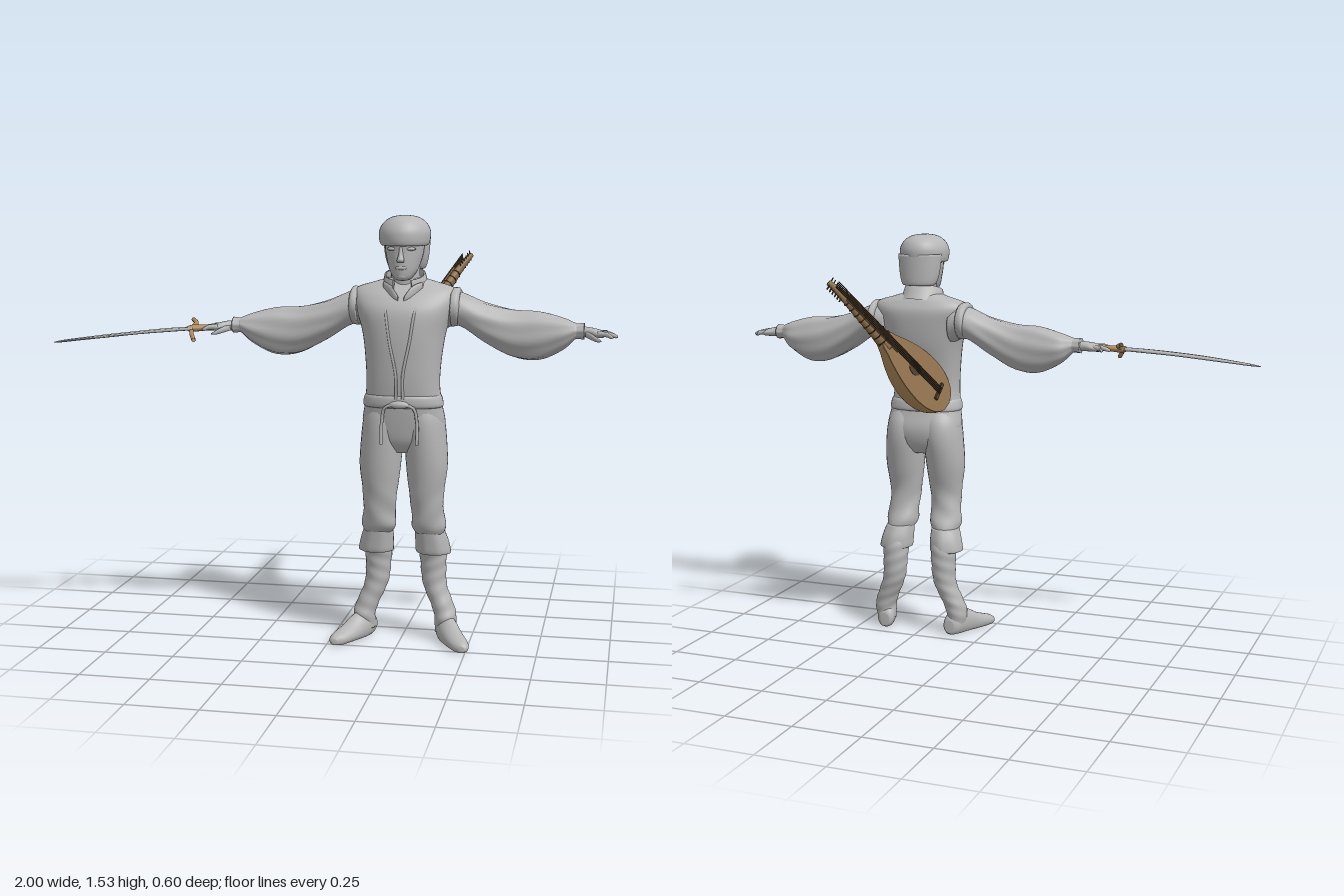
import * as THREE from 'three';

const mat = (name, color) => {
  const m = new THREE.MeshStandardMaterial({ color, side: THREE.DoubleSide });
  m.name = name;
  return m;
};

// Smooth skin over elliptical rings [t, u, v, ru, rv] strung along an axis.
// y axis: u = x, v = z.  x axis: u = y, v = z.  z axis: u = x, v = y.
function loft(rings, { axis = 'y', seg = 28, steps = 5, p = 2, side = 1, ripple = null } = {}) {
  const rows = [];
  const last = rings.length - 1;
  for (let i = 0; i < last; i++) {
    const [a, b, c, d] = [i - 1, i, i + 1, i + 2].map(k => rings[THREE.MathUtils.clamp(k, 0, last)]);
    for (let j = 0; j < steps; j++) {
      const f = j / steps;
      rows.push(b.map((_, k) => {
        const m0 = (c[k] - a[k]) / 2, m1 = (d[k] - b[k]) / 2;
        const q = b[k] - c[k];
        return b[k] + m0 * f + (-3 * q - 2 * m0 - m1) * f * f + (2 * q + m0 + m1) * f * f * f;
      }));
    }
  }
  rows.push(rings[last]);
  const pos = [], idx = [];
  const put = (t, u, v) => {
    const q = axis === 'y' ? [u, t, v] : axis === 'x' ? [t, u, v] : [u, v, t];
    pos.push(q[0] * side, q[1], q[2]);
  };
  const power = x => Math.sign(x) * Math.abs(x) ** (2 / p);
  for (const [t, u, v, ru, rv] of rows) {
    for (let k = 0; k < seg; k++) {
      const a = k / seg * Math.PI * 2, w = ripple ? 1 + ripple(t, a) : 1;
      put(t, u + ru * w * power(Math.cos(a)), v + rv * w * power(Math.sin(a)));
    }
  }
  const flip = ((axis !== 'y') !== (rings[last][0] < rings[0][0])) !== (side < 0);
  const tri = (a, b, c) => flip ? idx.push(a, c, b) : idx.push(a, b, c);
  const top = (rows.length - 1) * seg, c0 = rows.length * seg;
  put(...rows[0]);
  put(...rows[rows.length - 1]);
  for (let k = 0; k < seg; k++) {
    const n = (k + 1) % seg;
    for (let r = 0; r < top; r += seg) {
      tri(r + k, r + seg + k, r + n);
      tri(r + n, r + seg + k, r + seg + n);
    }
    tri(c0, k, n);
    tri(c0 + 1, top + n, top + k);
  }
  const g = new THREE.BufferGeometry();
  g.setAttribute('position', new THREE.Float32BufferAttribute(pos, 3));
  g.setIndex(idx);
  g.computeVertexNormals();
  return g;
}

const tube = (pts, r, n = 12) => new THREE.TubeGeometry(
  new THREE.CatmullRomCurve3(pts.map(q => new THREE.Vector3(...q))), n, r, 7);

export function createModel() {
  const model = new THREE.Group();
  const grey = mat('cloth and skin grey', 0xb6b6b6);
  const steel = mat('blade grey', 0xb0b0b0);
  const wood = mat('light wood', 0xb08a5a);
  const board = mat('soundboard brown', 0x8c6e4a);
  const dark = mat('dark wood', 0x4c3b29);
  const add = (parent, name, geo, m = grey) => {
    const mesh = new THREE.Mesh(geo, m);
    mesh.name = name;
    parent.add(mesh);
    return mesh;
  };
  const ball = (parent, name, c, s, m = grey) => {
    const b = add(parent, name, new THREE.SphereGeometry(1, 18, 12), m);
    b.position.set(...c);
    b.scale.set(...s);
    return b;
  };

  const man = new THREE.Group();
  man.name = 'figure';
  man.position.x = 0.26;
  model.add(man);

  // Torso, vest and hips
  add(man, 'torso', loft([
    [0.70, 0, 0.145, 0.06, 0.05], [0.74, 0, 0.145, 0.12, 0.078], [0.80, 0, 0.147, 0.147, 0.09],
    [0.87, 0, 0.162, 0.138, 0.086], [0.94, 0, 0.172, 0.13, 0.086], [1.02, 0, 0.168, 0.133, 0.096],
    [1.12, 0, 0.155, 0.146, 0.112], [1.2, 0, 0.145, 0.17, 0.113], [1.25, 0, 0.13, 0.185, 0.098],
    [1.28, 0, 0.122, 0.172, 0.076], [1.3, 0, 0.12, 0.11, 0.06], [1.315, 0, 0.125, 0.06, 0.05],
  ], { p: 2.3, seg: 40 }));
  add(man, 'vestHem', loft([
    [0.865, 0, 0.163, 0.139, 0.088], [0.875, 0, 0.165, 0.143, 0.093], [0.9, 0, 0.168, 0.138, 0.091],
    [0.91, 0, 0.169, 0.131, 0.085],
  ], { p: 2.3, steps: 3 }));

  // Head, face and hair
  add(man, 'neck', loft([[1.25, 0, 0.125, 0.065, 0.06], [1.31, 0, 0.132, 0.052, 0.055], [1.38, 0, 0.14, 0.05, 0.055]]));
  add(man, 'face', loft([
    [1.308, 0, 0.2, 0.015, 0.02], [1.316, 0, 0.195, 0.03, 0.041], [1.34, 0, 0.18, 0.047, 0.062],
    [1.37, 0, 0.165, 0.058, 0.079], [1.41, 0, 0.158, 0.067, 0.086], [1.45, 0, 0.155, 0.068, 0.09], [1.5, 0, 0.15, 0.05, 0.07],
  ]));
  add(man, 'nose', loft([[1.372, 0, 0.244, 0.012, 0.01], [1.38, 0, 0.25, 0.013, 0.014], [1.4, 0, 0.243, 0.008, 0.012],
    [1.425, 0, 0.238, 0.006, 0.008]], { seg: 12 }));
  ball(man, 'lips', [0, 1.353, 0.238], [0.02, 0.008, 0.007]);
  ball(man, 'chin', [0, 1.325, 0.228], [0.018, 0.014, 0.012]);
  add(man, 'hairCap', loft([
    [1.428, 0, 0.158, 0.066, 0.09], [1.43, 0, 0.157, 0.082, 0.103], [1.45, 0, 0.156, 0.089, 0.109],
    [1.48, 0, 0.154, 0.089, 0.108], [1.508, 0, 0.152, 0.073, 0.092], [1.526, 0, 0.152, 0.045, 0.06], [1.532, 0, 0.152, 0.012, 0.02],
  ], { seg: 36 }));
  add(man, 'backHair', loft([
    [1.343, 0, 0.095, 0.05, 0.035], [1.35, 0, 0.097, 0.066, 0.048], [1.39, 0, 0.105, 0.078, 0.058], [1.46, 0, 0.11, 0.085, 0.063],
  ]));

  // Stand-up collar, open at the throat
  const collar = add(man, 'collar', new THREE.LatheGeometry(
    [[0.082, -0.02], [0.07, 0.01], [0.064, 0.04], [0.072, 0.043], [0.079, 0.01], [0.09, -0.02]].map(q => new THREE.Vector2(...q)),
    28, 0.45, Math.PI * 2 - 0.9));
  collar.position.set(0, 1.288, 0.135);
  collar.rotation.x = 0.3;

  // Belt knot
  ball(man, 'beltKnot', [0, 0.88, 0.262], [0.035, 0.014, 0.014]);

  for (const s of [1, -1]) {
    const side = s > 0 ? 'left' : 'right';
    const at = pts => pts.map(([x, y, z]) => [x * s, y, z]);
    const part = (name, rings, o = {}) => add(man, side + name, loft(rings, { ...o, side: s }));

    // Collar flap, vest opening and hanging belt cord
    part('CollarFlap', [[0.01, 1.245, 0.232, 0.008, 0.006], [0.035, 1.265, 0.218, 0.024, 0.008], [0.07, 1.292, 0.185, 0.012, 0.008]],
      { axis: 'x', seg: 10 });
    add(man, side + 'VestEdge', tube(at([[0.065, 1.27, 0.192], [0.05, 1.2, 0.252], [0.035, 1.1, 0.264], [0.012, 0.98, 0.263], [0.012, 0.9, 0.258]]), 0.005, 24));
    add(man, side + 'BeltCord', tube(at([[0.01, 0.882, 0.268], [0.05, 0.87, 0.262], [0.062, 0.82, 0.255], [0.063, 0.74, 0.262]]), 0.006));
    ball(man, side + 'EyeBrow', [s * 0.028, 1.418, 0.229], [0.022, 0.007, 0.012]);
    ball(man, side + 'Eye', [s * 0.027, 1.403, 0.227], [0.011, 0.006, 0.007]);

    // Billowing sleeve with folds, and shoulder seam
    part('Sleeve', [
      [0.13, 1.2, 0.12, 0.07, 0.07], [0.19, 1.207, 0.117, 0.06, 0.071], [0.28, 1.162, 0.124, 0.069, 0.062],
      [0.38, 1.125, 0.125, 0.083, 0.056], [0.47, 1.118, 0.127, 0.083, 0.054], [0.55, 1.126, 0.131, 0.055, 0.049],
      [0.59, 1.137, 0.142, 0.03, 0.032], [0.6, 1.138, 0.143, 0.026, 0.028], [0.625, 1.138, 0.145, 0.028, 0.03],
    ], { axis: 'x', seg: 40, ripple: (t, a) => 0.035 * Math.sin(8 * a + t * 14) * THREE.MathUtils.smoothstep(t, 0.18, 0.3) });
    part('ArmholeEdge', [[0.165, 1.212, 0.12, 0.068, 0.08], [0.185, 1.215, 0.118, 0.068, 0.081], [0.195, 1.214, 0.117, 0.058, 0.07]],
      { axis: 'x', steps: 3 });

    // Hand with spread fingers
    part('Palm', [[0.6, 1.137, 0.145, 0.018, 0.022], [0.635, 1.136, 0.15, 0.018, 0.026], [0.665, 1.133, 0.157, 0.016, 0.04],
      [0.688, 1.13, 0.16, 0.012, 0.038], [0.695, 1.13, 0.16, 0.006, 0.03]], { axis: 'x', seg: 18 });
    for (let i = 0; i < 4; i++) {
      const tip = [0.715, 0.735, 0.74, 0.725][i], z0 = 0.132 + i * 0.019, z1 = 0.12 + i * 0.029;
      part('Finger' + (i + 1), [[0.67, 1.133, z0, 0.009, 0.009], [0.7, 1.133, (z0 + z1) / 2, 0.009, 0.009],
        [tip - 0.008, 1.126, z1, 0.007, 0.007], [tip, 1.124, z1, 0.002, 0.002]], { axis: 'x', seg: 9, steps: 3 });
    }
    part('Thumb', [[0.63, 1.13, 0.165, 0.011, 0.012], [0.65, 1.124, 0.192, 0.011, 0.013], [0.67, 1.116, 0.215, 0.008, 0.009],
      [0.685, 1.112, 0.226, 0.002, 0.002]], { axis: 'x', seg: 9 });

    // Breeches gathered below the knee
    part('Breeches', [
      [0.4, 0.094, 0.122, 0.05, 0.054], [0.43, 0.09, 0.134, 0.062, 0.06], [0.48, 0.088, 0.147, 0.058, 0.055],
      [0.55, 0.084, 0.156, 0.062, 0.057], [0.65, 0.084, 0.152, 0.074, 0.076], [0.75, 0.078, 0.147, 0.075, 0.09],
      [0.82, 0.072, 0.15, 0.072, 0.088], [0.87, 0.065, 0.16, 0.06, 0.07],
    ], { ripple: (t, a) => 0.03 * Math.sin(3 * a + t * 60) * (1 - THREE.MathUtils.smoothstep(t, 0.45, 0.65)) });
    part('BreechesCuff', [[0.325, 0.104, 0.1, 0.052, 0.05], [0.328, 0.105, 0.103, 0.063, 0.063], [0.37, 0.1, 0.11, 0.06, 0.064],
      [0.41, 0.094, 0.122, 0.053, 0.058]], { ripple: (t, a) => 0.025 * Math.sin(7 * a) });

    // Soft wrinkled boot
    part('BootShaft', [
      [0.03, 0.146, 0.096, 0.036, 0.038], [0.08, 0.15, 0.1, 0.04, 0.046], [0.12, 0.14, 0.094, 0.041, 0.045],
      [0.2, 0.108, 0.084, 0.043, 0.046], [0.28, 0.101, 0.083, 0.047, 0.048], [0.34, 0.1, 0.09, 0.049, 0.051], [0.38, 0.1, 0.1, 0.045, 0.048],
    ], { steps: 8, ripple: (t, a) => 0.025 * Math.sin(t * 130 + 2 * a) });
    const foot = loft([
      [0.053, 0.137, 0.03, 0.018, 0.025], [0.065, 0.14, 0.035, 0.032, 0.04], [0.1, 0.15, 0.042, 0.038, 0.056],
      [0.14, 0.167, 0.036, 0.04, 0.052], [0.18, 0.189, 0.026, 0.04, 0.037], [0.22, 0.21, 0.02, 0.038, 0.027],
      [0.25, 0.223, 0.016, 0.028, 0.02], [0.264, 0.23, 0.013, 0.01, 0.01],
    ], { axis: 'z', side: s });
    const fp = foot.attributes.position;
    for (let i = 0; i < fp.count; i++) fp.setY(i, Math.max(fp.getY(i), 0));
    foot.computeVertexNormals();
    add(man, side + 'Foot', foot);
  }

  // Sword held in the right hand
  const sword = new THREE.Group();
  sword.name = 'sword';
  model.add(sword);
  add(sword, 'blade', loft([
    [-0.5, 1.127, 0.192, 0.007, 0.022], [-0.6, 1.12, 0.211, 0.007, 0.03], [-0.7, 1.111, 0.233, 0.006, 0.034],
    [-0.8, 1.1, 0.251, 0.006, 0.032], [-0.9, 1.088, 0.264, 0.005, 0.022], [-0.97, 1.079, 0.273, 0.004, 0.011], [-1.0, 1.075, 0.279, 0.001, 0.001],
  ], { axis: 'x', seg: 8 }), steel);
  add(sword, 'grip', loft([[-0.41, 1.131, 0.166, 0.008, 0.01], [-0.425, 1.131, 0.168, 0.013, 0.018], [-0.46, 1.129, 0.176, 0.011, 0.015],
    [-0.5, 1.127, 0.186, 0.013, 0.024], [-0.52, 1.126, 0.19, 0.01, 0.024]], { axis: 'x', seg: 14 }), wood);
  add(sword, 'crossGuard', tube([[-0.525, 1.152, 0.113], [-0.505, 1.142, 0.14], [-0.508, 1.128, 0.185], [-0.498, 1.11, 0.225], [-0.482, 1.09, 0.252]], 0.008, 18), wood);

  // Lute slung across the back: local y runs up the neck, local z out of the soundboard
  const lute = new THREE.Group();
  lute.name = 'lute';
  const d = new THREE.Vector3(0.463, 0.712, -0.527).normalize();
  const n = new THREE.Vector3(-0.886, 0.378, -0.27).normalize();
  const w = new THREE.Vector3().crossVectors(d, n).normalize();
  lute.quaternion.setFromRotationMatrix(new THREE.Matrix4().makeBasis(w, d, n));
  lute.position.set(0.21, 1.035, -0.04);
  model.add(lute);
  const outline = new THREE.SplineCurve([[0.0005, -0.18], [0.05, -0.168], [0.09, -0.125], [0.107, -0.06], [0.1, 0.02], [0.078, 0.09],
    [0.05, 0.15], [0.034, 0.185], [0.0005, 0.19]].map(q => new THREE.Vector2(...q))).getPoints(36);
  add(lute, 'bowl', new THREE.LatheGeometry(outline, 24, Math.PI / 2, Math.PI), wood).scale.z = 1.05;
  const rim = outline.concat(outline.map(q => new THREE.Vector2(-q.x, q.y)).reverse());
  add(lute, 'soundboard', new THREE.ExtrudeGeometry(new THREE.Shape(rim), { depth: 0.006, bevelEnabled: false }), board);
  add(lute, 'neck', loft([[0.15, 0, -0.014, 0.037, 0.03], [0.22, 0, -0.008, 0.031, 0.022], [0.32, 0, -0.004, 0.024, 0.017],
    [0.41, 0, -0.002, 0.018, 0.014], [0.485, 0, -0.006, 0.011, 0.01]], { seg: 16 }), board);
  const box = (name, size, at, m) => add(lute, name, new THREE.BoxGeometry(...size), m).position.set(...at);
  box('fingerboard', [0.03, 0.28, 0.006], [0, 0.26, 0.013], board);
  box('bridge', [0.08, 0.012, 0.01], [0, -0.115, 0.011], dark);
  const rose = add(lute, 'soundHole', new THREE.CylinderGeometry(0.03, 0.03, 0.004, 24), dark);
  rose.rotation.x = Math.PI / 2;
  rose.position.set(0, 0.02, 0.006);
  for (let i = 0; i < 5; i++) box('string' + (i + 1), [0.0025, 0.58, 0.003], [(i - 2) * 0.007, 0.175, 0.019], dark);
  for (let i = 0; i < 8; i++) {
    const y = 0.19 + i * 0.028, k = 0.036 - i * 0.0022;
    const fret = add(lute, 'fret' + (i + 1), new THREE.TorusGeometry(k, 0.002, 5, 18), dark);
    fret.rotation.x = Math.PI / 2;
    fret.scale.y = 0.72;
    fret.position.set(0, y, -0.003);
  }
  for (let i = 0; i < 6; i++) {
    const y = 0.415 + i * 0.013;
    const peg = add(lute, 'peg' + (i + 1), new THREE.CylinderGeometry(0.003, 0.002, 0.062, 6), dark);
    peg.rotation.z = Math.PI / 2;
    peg.position.set(0, y, -0.004);
  }
  return model;
}
